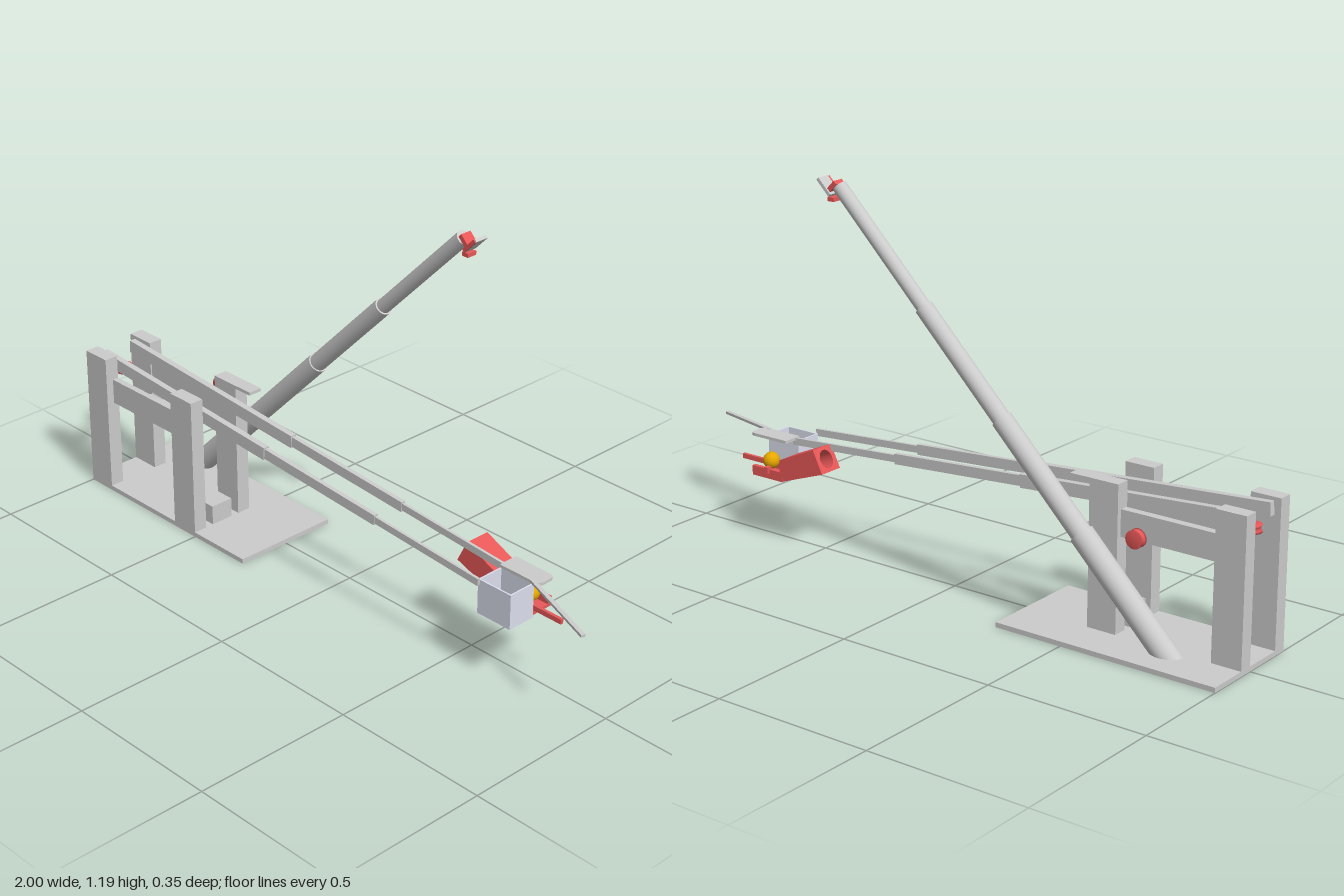
import * as THREE from 'three';

const grey = new THREE.MeshStandardMaterial({ color: 0xcccccc });
const red = new THREE.MeshStandardMaterial({ color: 0xe85858 });
const pale = new THREE.MeshStandardMaterial({ color: 0xdcdfee });
const yellow = new THREE.MeshStandardMaterial({ color: 0xe8a800 });

export function createModel() {
  const model = new THREE.Group();

  const add = (name, geometry, material = grey) => {
    const mesh = new THREE.Mesh(geometry, material);
    mesh.name = name;
    model.add(mesh);
    return mesh;
  };
  // Box given by its limits on each axis
  const box = (name, x0, x1, y0, y1, z0, z1, material) => {
    const mesh = add(name, new THREE.BoxGeometry(x1 - x0, y1 - y0, z1 - z0), material);
    mesh.position.set((x0 + x1) / 2, (y0 + y1) / 2, (z0 + z1) / 2);
    return mesh;
  };
  // Rectangular bar running between two points
  const bar = (name, a, b, height, width, material) => {
    const from = new THREE.Vector3(...a), to = new THREE.Vector3(...b);
    const mesh = add(name, new THREE.BoxGeometry(width, height, from.distanceTo(to)), material);
    mesh.position.copy(from).lerp(to, 0.5);
    mesh.lookAt(to);
    return mesh;
  };

  // Base and frame
  box('base', -1, -0.28, 0, 0.015, -0.175, 0.175);
  for (const [z0, z1] of [[0.13, 0.175], [-0.045, 0]]) {
    box('rearPost', -1, -0.905, 0.015, 0.455, z0, z1);
    box('frontPost', -0.595, -0.5, 0.015, 0.455, z0, z1);
  }
  box('frameRail', -0.905, -0.595, 0.3, 0.38, 0.13, 0.15);
  box('frameRail', -0.905, -0.595, 0.3, 0.38, -0.03, -0.005);
  box('innerShelf', -0.835, -0.595, 0.3, 0.325, 0.058, 0.098);
  box('topPlate', -0.5, -0.435, 0.445, 0.455, -0.045, 0);
  box('floorBlock', -0.595, -0.5, 0.015, 0.077, 0.027, 0.103);

  // Waisted cable spools
  const spoolProfile = [[0, -0.011], [0.027, -0.011], [0.025, -0.006], [0.022, 0],
    [0.025, 0.006], [0.027, 0.011], [0, 0.011]].map(p => new THREE.Vector2(...p));
  const spool = new THREE.LatheGeometry(spoolProfile, 24);
  add('frameSpool', spool, red).position.set(-0.95, 0.379, 0.07);
  const sideSpool = add('sideSpool', spool, red);
  sideSpool.position.set(-0.703, 0.345, -0.117);
  sideSpool.rotation.x = Math.PI / 2;

  // Telescopic mast leaning at 45 degrees, its foot cut level
  const mastZ = -0.108;
  const levels = [0.035, 0.315, 0.588, 0.861, 1.165];
  const radii = [0.036, 0.031, 0.027, 0.022];
  radii.forEach((r, i) => {
    const length = (levels[i + 1] - levels[i]) * Math.SQRT2;
    const g = new THREE.CylinderGeometry(r, r, length, 32);
    g.translate(0, length / 2, 0);
    if (i === 0) {
      const p = g.attributes.position;
      for (let k = 0; k < p.count; k++) {
        if (p.getY(k) < 0.001) p.setY(k, p.getX(k));
      }
    }
    const tube = add('mastSection', g);
    tube.position.set(levels[i] - 0.835, levels[i], mastZ);
    tube.rotation.z = -Math.PI / 4;
  });

  // Mast head: small bracket, plate and pin
  const tilted = (name, x, y, across, along, depth, z, material) => {
    const mesh = add(name, new THREE.BoxGeometry(across, along, depth), material);
    mesh.position.set(x, y, z);
    mesh.rotation.z = -Math.PI / 4;
  };
  tilted('mastBracket', 0.344, 1.165, 0.034, 0.014, 0.036, mastZ, red);
  tilted('mastPlate', 0.372, 1.16, 0.01, 0.062, 0.044, mastZ);
  tilted('mastPlateFace', 0.372, 1.16, 0.011, 0.058, 0.005, mastZ + 0.022, red);
  box('mastPin', 0.34, 0.362, 1.12, 1.132, mastZ - 0.016, mastZ + 0.016, red);

  // Two telescopic arms, each of three narrowing sections
  const armX = [-0.98, -0.23, 0.23, 0.63];
  const armY = x => 0.358 - 0.069 * x;
  for (const z of [0.118, 0.01]) {
    [[0.04, 0.02], [0.032, 0.014], [0.022, 0.009]].forEach(([h, w], i) => {
      const a = armX[i], b = armX[i + 1];
      bar('armSection', [a, armY(a), z], [b, armY(b), z], h, w);
    });
  }

  // Open hopper between the arm ends
  const [x0, x1, y0, y1, z0, z1, t] = [0.617, 0.738, 0.207, 0.315, 0.015, 0.107, 0.005];
  box('hopperFloor', x0, x1, y0, y0 + t, z0, z1, pale);
  box('hopperFront', x0, x1, y0, y1, z1 - t, z1, pale);
  box('hopperBack', x0, x1, y0, y1, z0, z0 + t, pale);
  box('hopperSide', x0, x0 + t, y0, y1, z0, z1, pale);
  box('hopperSide', x1 - t, x1, y0, y1, z0, z1, pale);

  // Rounded deck beside the hopper and the thin outrigger
  const deck = new THREE.Shape();
  deck.moveTo(0.62, -0.025);
  deck.lineTo(0.745, -0.025);
  deck.quadraticCurveTo(0.765, -0.025, 0.765, -0.005);
  deck.lineTo(0.765, 0.02);
  deck.quadraticCurveTo(0.765, 0.038, 0.745, 0.038);
  deck.lineTo(0.62, 0.038);
  const deckMesh = add('deck', new THREE.ExtrudeGeometry(deck,
    { depth: 0.009, bevelEnabled: false, curveSegments: 6 }));
  deckMesh.rotation.x = -Math.PI / 2;
  deckMesh.position.y = 0.319;
  bar('outrigger', [0.735, 0.325, 0.02], [0.997, 0.309, 0.108], 0.008, 0.013);

  // Gripper body: a square tube with a round bore, raked at its far end
  const face = new THREE.Shape([[-0.041, -0.035], [0.041, -0.035], [0.041, 0.035],
    [-0.041, 0.035]].map(p => new THREE.Vector2(...p)));
  const bore = new THREE.Path();
  bore.absarc(0, 0, 0.026, 0, Math.PI * 2, true);
  face.holes.push(bore);
  const body = new THREE.ExtrudeGeometry(face, { depth: 1, bevelEnabled: false, curveSegments: 16 });
  const p = body.attributes.position;
  for (let k = 0; k < p.count; k++) {
    const side = p.getX(k), h = p.getY(k), s = p.getZ(k);
    p.setXYZ(k, THREE.MathUtils.lerp(0.4675 + 0.5 * h, 0.62, s),
      THREE.MathUtils.lerp(0.3, 0.24, s) + h, -0.027 - side);
  }
  // Turn the faces outward again if the mapping mirrored them
  body.computeVertexNormals();
  const bodyMesh = add('gripperBody', body, red.clone());
  bodyMesh.material.side = THREE.DoubleSide;

  // Gripper fingers, tie bars, long prong and held ball
  for (const z of [-0.062, 0.006]) {
    box('finger', 0.61, 0.73, 0.207, 0.237, z - 0.007, z + 0.007, red);
  }
  box('gripperFloor', 0.61, 0.73, 0.207, 0.215, -0.068, 0.013, red);
  box('fingerLug', 0.66, 0.675, 0.225, 0.245, -0.078, -0.06, red);
  box('longProng', 0.62, 0.83, 0.222, 0.237, -0.005, 0.005, red);
  const ball = add('ball', new THREE.SphereGeometry(0.026, 24, 16), yellow);
  ball.position.set(0.69, 0.25, -0.027);

  return model;
}
